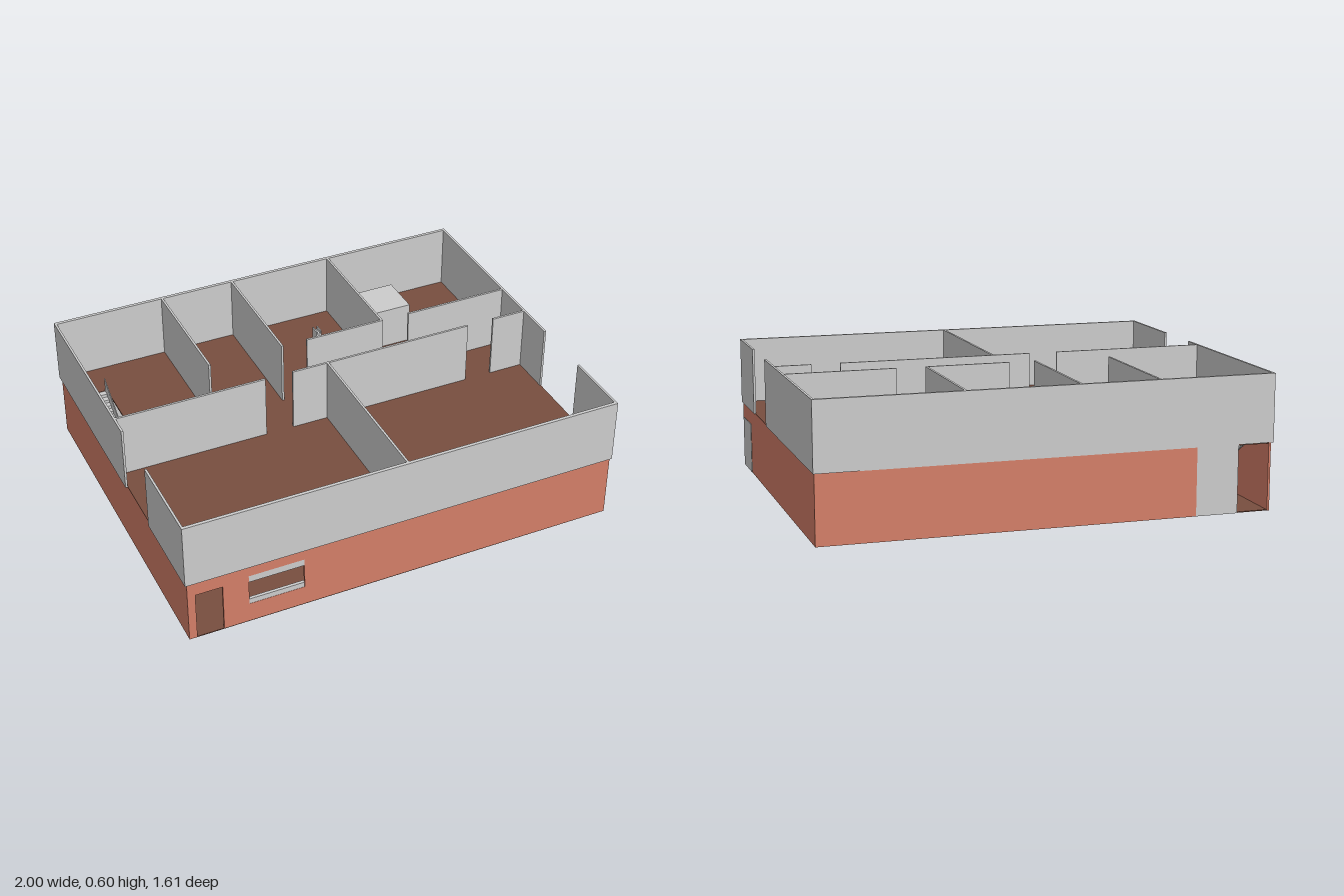
import * as THREE from 'three';

export function createModel() {
  const group = new THREE.Group();
  const grey = new THREE.MeshStandardMaterial({ color: 0xcccccc });
  const red = new THREE.MeshStandardMaterial({ color: 0xd37e68 });
  const brown = new THREE.MeshStandardMaterial({ color: 0x784e3f });
  const T = 0.01; // wall thickness

  function add(name, geometry, material) {
    const mesh = new THREE.Mesh(geometry, material);
    mesh.name = name;
    group.add(mesh);
    return mesh;
  }
  // Box given by its limits on each axis
  function box(name, material, x0, x1, y0, y1, z0, z1) {
    return add(name, new THREE.BoxGeometry(x1 - x0, y1 - y0, z1 - z0), material)
      .position.set((x0 + x1) / 2, (y0 + y1) / 2, (z0 + z1) / 2);
  }
  // Thin walls running along x or along z
  const wallX = (name, mat, z, x0, x1, y0, y1) => box(name, mat, x0, x1, y0, y1, z - T / 2, z + T / 2);
  const wallZ = (name, mat, x, z0, z1, y0, y1) => box(name, mat, x - T / 2, x + T / 2, y0, y1, z0, z1);
  const shapeOf = (points) => new THREE.Shape(points.map(([a, b]) => new THREE.Vector2(a, b)));

  // Ground floor slab
  box('groundFloor', brown, -0.99, 0.995, 0, 0.004, -0.795, 0.79);

  // Upper floor slab with an opening for the stairs
  const slab = shapeOf([[-0.99, -0.79], [0.995, -0.79], [0.995, 0.795], [-0.99, 0.795]]);
  slab.holes.push(shapeOf([[-0.98, 0.09], [-0.835, 0.09], [-0.835, 0.61], [-0.98, 0.61]]));
  const slabGeometry = new THREE.ExtrudeGeometry(slab, { depth: 0.008, bevelEnabled: false });
  slabGeometry.rotateX(-Math.PI / 2);
  add('upperFloor', slabGeometry, brown).position.y = 0.294;

  // Lower front wall with doorway and window
  const front = shapeOf([[-0.99, 0], [-0.955, 0], [-0.955, 0.23], [-0.835, 0.23],
    [-0.835, 0], [0.995, 0], [0.995, 0.3], [-0.99, 0.3]]);
  front.holes.push(shapeOf([[-0.72, 0.095], [-0.47, 0.095], [-0.47, 0.245], [-0.72, 0.245]]));
  add('lowerFrontWall', new THREE.ExtrudeGeometry(front, { depth: T, bevelEnabled: false }), red)
    .position.z = 0.78;
  box('windowLintel', grey, -0.72, -0.47, 0.212, 0.245, 0.775, 0.789);
  box('windowSill', grey, -0.72, -0.47, 0.095, 0.12, 0.775, 0.789);

  // Remaining lower outer walls and the side door
  wallX('lowerBackWall', red, -0.795, -0.65, 0.995, 0, 0.3);
  wallX('backPanel', grey, -0.795, -0.84, -0.65, 0, 0.3);
  wallX('backWallLining', grey, -0.785, -0.84, -0.34, 0.004, 0.294);
  wallZ('lowerLeftWall', red, 0.99, -0.8, 0.79, 0, 0.3);
  wallZ('lowerRightWall', red, -0.985, -0.8, 0.79, 0, 0.3);
  box('sideDoor', grey, 0.985, 0.997, 0, 0.23, 0.59, 0.78);

  // Lower partitions
  wallX('lowerPartition', red, 0.13, -0.34, 0.985, 0.004, 0.294);
  wallZ('lowerPartition', red, -0.335, 0.37, 0.62, 0.004, 0.294);
  wallZ('lowerPartition', red, -0.83, 0, 0.46, 0.004, 0.294);
  wallZ('stairSideWall', grey, -0.835, -0.79, -0.61, 0.004, 0.294);

  // Stairs climbing towards the back
  const steps = 20, run = 0.52 / steps, rise = 0.3 / steps;
  for (let i = 0; i < steps; i++) {
    const z = -0.09 - i * run;
    box('step', grey, -0.975, -0.84, Math.max(0.004, (i - 1) * rise), (i + 1) * rise, z - run, z);
  }
  // Sloping stair side boards
  for (const x of [-0.978, -0.842]) {
    const board = shapeOf([[0.09, 0.004], [0.09, 0.03], [0.61, 0.37], [0.61, 0.27], [0.17, 0.004]]);
    const geometry = new THREE.ExtrudeGeometry(board, { depth: 0.004, bevelEnabled: false });
    geometry.rotateY(Math.PI / 2);
    add('stairSideBoard', geometry, grey).position.x = x - 0.002;
  }

  // Upper outer walls
  box('upperFrontWall', grey, -1, 1, 0.3, 0.6, 0.785, 0.8);
  box('upperBackWall', grey, -1, 1, 0.3, 0.6, -0.805, -0.79);
  for (const [z0, z1] of [[-0.79, 0.19], [0.48, 0.785]]) wallZ('upperLeftWall', grey, 0.995, z0, z1, 0.3, 0.6);
  for (const [z0, z1] of [[-0.79, 0.1], [0.38, 0.785]]) wallZ('upperRightWall', grey, -0.995, z0, z1, 0.3, 0.6);

  // Upper partitions with door gaps
  for (const x of [-0.48, -0.13, 0.365]) wallZ('backRoomWall', grey, x, -0.79, -0.2, 0.3, 0.6);
  for (const [x0, x1] of [[-0.01, 0.37], [0.5, 0.99]]) wallX('hallBackWall', grey, -0.203, x0, x1, 0.3, 0.6);
  for (const [x0, x1] of [[-0.99, -0.3], [-0.17, 0.7], [0.83, 0.99]]) wallX('hallFrontWall', grey, 0, x0, x1, 0.3, 0.6);
  wallZ('frontRoomWall', grey, 0, 0, 0.785, 0.3, 0.6);

  // Furniture
  box('cabinet', grey, 0.415, 0.61, 0.3, 0.5, -0.595, -0.4);
  box('stoolSeat', grey, 0.143, 0.17, 0.43, 0.44, -0.48, -0.435);
  for (const x of [0.143, 0.164]) box('stoolSide', grey, x, x + 0.006, 0.3, 0.455, -0.48, -0.435);

  return group;
}
